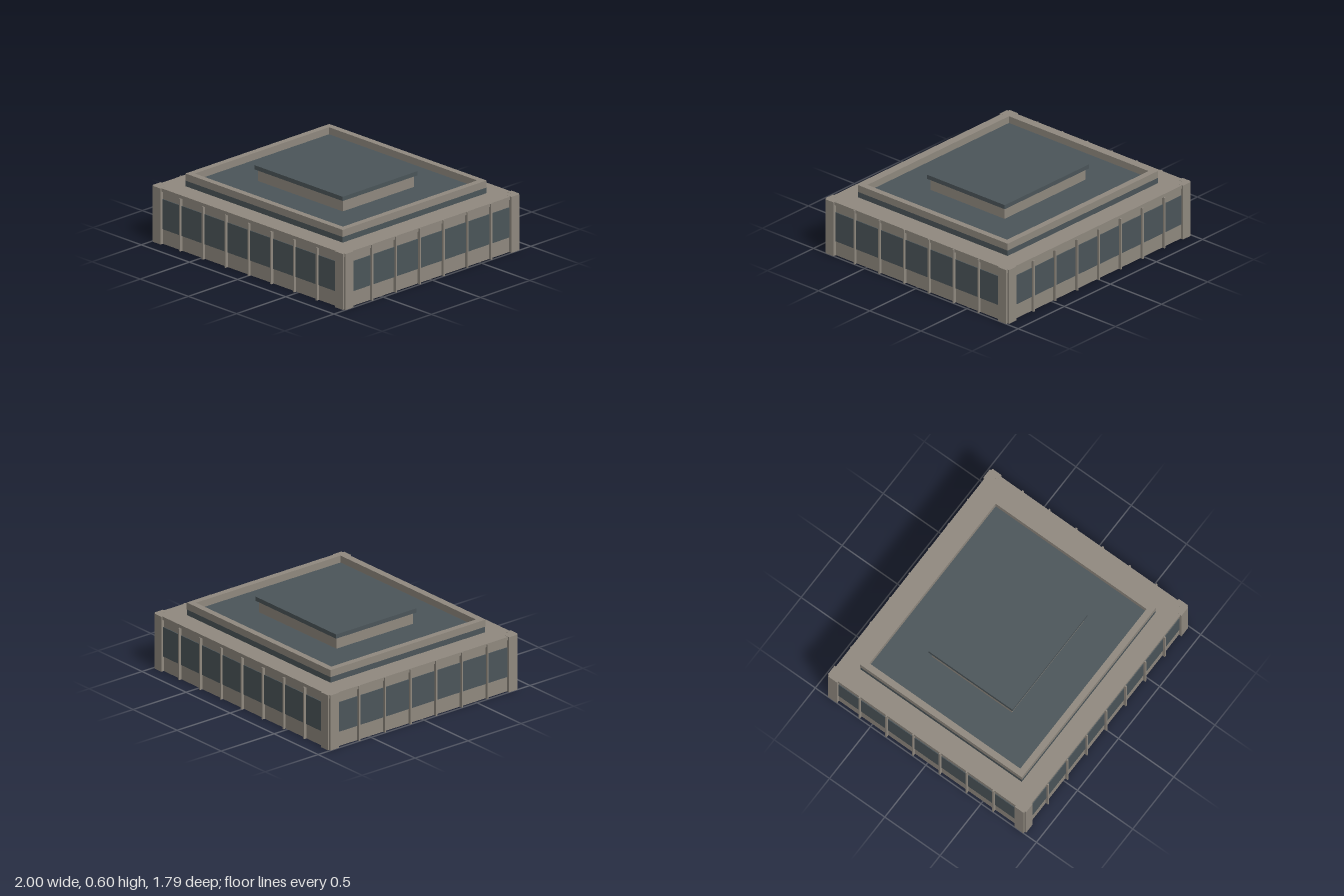
import * as THREE from 'three';

export function createModel() {
  const model = new THREE.Group();
  model.name = 'building';
  const stone = new THREE.MeshStandardMaterial({ color: 0x918a80 });
  stone.name = 'warm grey stone';
  const dark = new THREE.MeshStandardMaterial({ color: 0x4c565a });
  dark.name = 'dark slate glass';

  // Box given by its half width, half depth, bottom and top, centred on (x, z)
  function block(name, material, hx, hz, y0, y1, x = 0, z = 0) {
    const mesh = new THREE.Mesh(new THREE.BoxGeometry(hx * 2, y1 - y0, hz * 2), material);
    mesh.name = name;
    mesh.position.set(x, (y0 + y1) / 2, z);
    model.add(mesh);
  }

  // Main storey: walls, window band slightly proud of them, roof slab
  block('lowerWall', stone, 0.976, 0.873, 0, 0.116);
  block('windowBand', dark, 0.982, 0.879, 0.116, 0.348);
  block('upperWall', stone, 0.976, 0.873, 0.348, 0.408);
  block('roofSlab', stone, 0.988, 0.885, 0.408, 0.433);

  // Corner pilasters, one on each face, leaving a small notch at the corner
  for (const sx of [-1, 1]) {
    for (const sz of [-1, 1]) {
      block('cornerPilasterZ', stone, 0.04, 0.0225, 0, 0.434, sx * 0.945, sz * 0.8735);
      block('cornerPilasterX', stone, 0.0225, 0.04, 0, 0.434, sx * 0.9775, sz * 0.843);
    }
  }

  // Slender mullions on all four faces
  for (const s of [-1, 1]) {
    for (let i = -3; i <= 3; i++) {
      block('mullionZ', stone, 0.006, 0.0125, 0, 0.408, i * 0.2365, s * 0.883);
    }
    for (let i = 0; i < 6; i++) {
      block('mullionX', stone, 0.0125, 0.006, 0, 0.432, s * 0.9865, (i - 2.5) * 0.242);
    }
  }

  // Set-back tier: dark band whose top is the sunken roof
  block('upperBand', dark, 0.815, 0.73, 0.433, 0.478);

  // Parapet frame around the sunken roof
  const frame = new THREE.Shape();
  frame.moveTo(-0.816, -0.731).lineTo(0.816, -0.731).lineTo(0.816, 0.731).lineTo(-0.816, 0.731).closePath();
  const opening = new THREE.Path();
  opening.moveTo(-0.768, -0.682).lineTo(-0.768, 0.682).lineTo(0.768, 0.682).lineTo(0.768, -0.682).closePath();
  frame.holes.push(opening);
  const parapetGeometry = new THREE.ExtrudeGeometry(frame, { depth: 0.055, bevelEnabled: false });
  parapetGeometry.rotateX(-Math.PI / 2);
  const parapet = new THREE.Mesh(parapetGeometry, stone);
  parapet.name = 'parapet';
  parapet.position.y = 0.477;
  model.add(parapet);

  // Rooftop penthouse and its cap
  block('penthouse', stone, 0.44, 0.362, 0.478, 0.567);
  block('penthouseCap', dark, 0.457, 0.379, 0.567, 0.6);

  return model;
}
